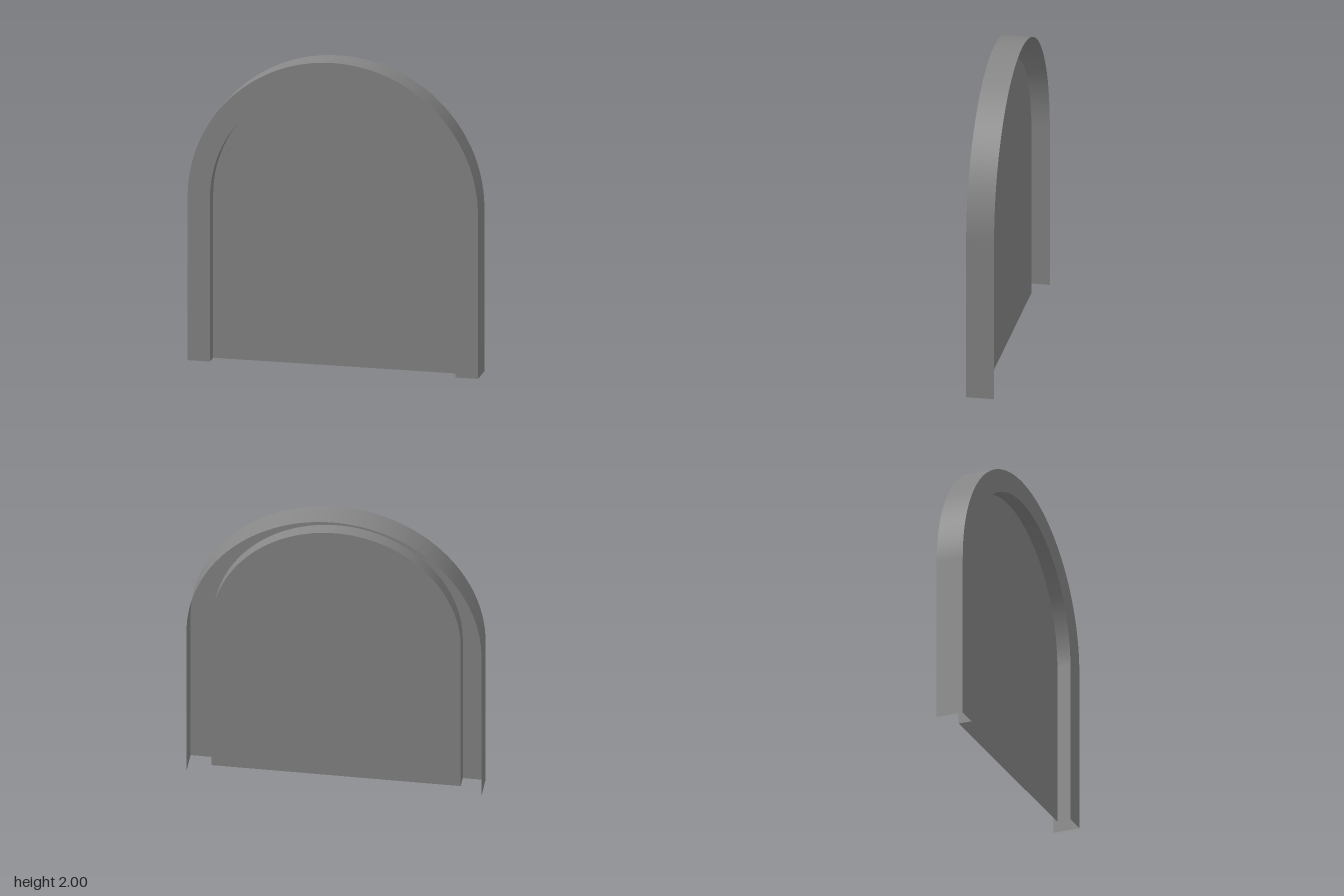
import * as THREE from 'three';

const SPRING = 1.066;            // height where the arch begins
const OUTER = 0.934, INNER = 0.79;
const FRONT = 0.089, BACK = -0.089, PANEL = 0;
const SEGMENTS = 64;

const material = new THREE.MeshStandardMaterial({ color: 0x878787, side: THREE.DoubleSide });

// Round-headed outline from the right foot, over the arch, to the left foot
function archPoints(r) {
  const points = [{ x: r, y: 0, nx: 1, ny: 0 }];
  for (let i = 0; i <= SEGMENTS; i++) {
    const a = Math.PI * i / SEGMENTS, c = Math.cos(a), s = Math.sin(a);
    points.push({ x: r * c, y: SPRING + r * s, nx: c, ny: s });
  }
  points.push({ x: -r, y: 0, nx: -1, ny: 0 });
  return points;
}

// Thin wall following the outline between two depths; facing is 1 outward, -1 inward
function wall(name, r, zBack, zFront, facing) {
  const position = [], normal = [], index = [];
  archPoints(r).forEach((p, i, all) => {
    for (const z of [zBack, zFront]) {
      position.push(p.x, p.y, z);
      normal.push(p.nx * facing, p.ny * facing, 0);
    }
    if (i === all.length - 1) return;
    const a = 2 * i, b = a + 1, c = a + 2, d = a + 3;
    if (facing > 0) index.push(a, c, b, b, c, d);
    else index.push(a, b, c, b, d, c);
  });
  const geometry = new THREE.BufferGeometry();
  geometry.setAttribute('position', new THREE.Float32BufferAttribute(position, 3));
  geometry.setAttribute('normal', new THREE.Float32BufferAttribute(normal, 3));
  geometry.setIndex(index);
  return named(name, geometry);
}

function named(name, geometry) {
  const mesh = new THREE.Mesh(geometry, material);
  mesh.name = name;
  return mesh;
}

// Flat sheet facing the front at depth z
function sheet(name, points, z) {
  const shape = new THREE.Shape(points.map(p => new THREE.Vector2(p.x, p.y)));
  return named(name, new THREE.ShapeGeometry(shape).translate(0, 0, z));
}

export function createModel() {
  const group = new THREE.Group();
  group.name = 'archedPanel';

  // Hollow frame, open at the back and at the feet
  group.add(wall('outerWall', OUTER, BACK, FRONT, 1));
  group.add(sheet('frameFace', [...archPoints(OUTER), ...archPoints(INNER).reverse()], FRONT));
  group.add(wall('innerReveal', INNER, PANEL, FRONT, -1));

  // Recessed panel filling the arch
  group.add(sheet('recessedPanel', archPoints(INNER), PANEL));
  return group;
}
